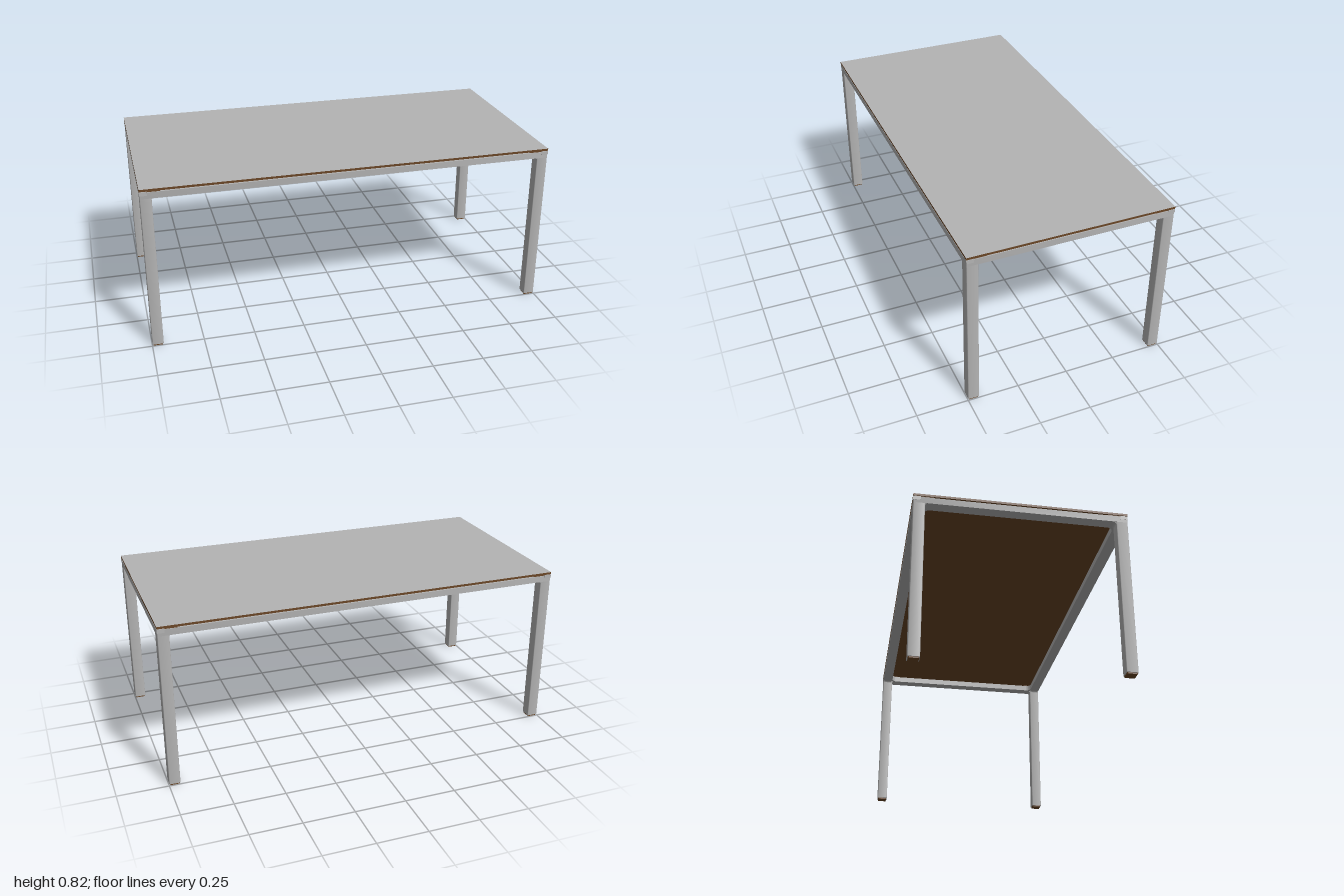
import * as THREE from 'three';
import { toCreasedNormals } from 'three/addons/utils/BufferGeometryUtils.js';

// Rounded rectangle centred on the origin, as a Shape or a Path
function roundedRect(target, w, d, r) {
  const x = w / 2, y = d / 2;
  target.moveTo(-x + r, -y);
  target.lineTo(x - r, -y);
  target.absarc(x - r, -y + r, r, -Math.PI / 2, 0, false);
  target.lineTo(x, y - r);
  target.absarc(x - r, y - r, r, 0, Math.PI / 2, false);
  target.lineTo(-x + r, y);
  target.absarc(-x + r, y - r, r, Math.PI / 2, Math.PI, false);
  target.lineTo(-x, -y + r);
  target.absarc(-x + r, -y + r, r, Math.PI, Math.PI * 1.5, false);
  return target;
}

// Extrude a plan shape upwards from y0 to y1
function extrudeUp(shape, y0, y1) {
  const g = new THREE.ExtrudeGeometry(shape, { depth: y1 - y0, bevelEnabled: false, curveSegments: 6 });
  g.rotateX(-Math.PI / 2);
  g.translate(0, y0, 0);
  return toCreasedNormals(g, 0.6);
}

export function createModel() {
  const grey = new THREE.MeshStandardMaterial({ color: 0xb4b4b4 });
  grey.name = 'satin grey';
  const brown = new THREE.MeshStandardMaterial({ color: 0x6a4626 });
  brown.name = 'dark brown';

  const model = new THREE.Group();
  model.name = 'table';
  function add(parent, name, geometry, material, x = 0, y = 0, z = 0) {
    const mesh = new THREE.Mesh(geometry, material);
    mesh.name = name;
    mesh.position.set(x, y, z);
    parent.add(mesh);
    return mesh;
  }

  const HX = 0.999, HZ = 0.499;      // outer half sizes of the frame
  const LEG = 0.054, EDGE = 0.004;   // leg width and edge rounding
  const RAIL_Y = 0.775, RAIL_TOP = 0.806, TOP_Y = 0.811, HEIGHT = 0.822;

  // Tabletop: grey upper face, brown edges and underside
  add(model, 'tabletop', new THREE.BoxGeometry(2, HEIGHT - TOP_Y, 1),
    [brown, brown, grey, brown, brown, brown], 0, (HEIGHT + TOP_Y) / 2, 0);

  // Frame of rails with rounded inner corners
  const ring = roundedRect(new THREE.Shape(), HX * 2, HZ * 2, EDGE);
  ring.holes.push(roundedRect(new THREE.Path(), (HX - LEG) * 2, (HZ - LEG) * 2, 0.03));
  add(model, 'railFrame', extrudeUp(ring, RAIL_Y, RAIL_TOP), grey);

  // Shared corner geometries
  const legGeo = extrudeUp(roundedRect(new THREE.Shape(), LEG, LEG, EDGE), 0.007, RAIL_Y);
  const footGeo = extrudeUp(roundedRect(new THREE.Shape(), 0.047, 0.047, EDGE), 0, 0.007);
  const blockGeo = new THREE.BoxGeometry(0.035, 0.019, 0.035);
  const spacerX = new THREE.BoxGeometry(0.06, TOP_Y - RAIL_TOP, 0.045);
  const spacerZ = new THREE.BoxGeometry(0.045, TOP_Y - RAIL_TOP, 0.06);

  // Small concave fillet between leg and rail
  const R = 0.01;
  const f = new THREE.Shape();
  f.moveTo(0, 0);
  f.lineTo(0, -R);
  f.absarc(R, -R, R, Math.PI, Math.PI / 2, true);
  f.lineTo(0, 0);
  const filletRaw = new THREE.ExtrudeGeometry(f, { depth: LEG - 2 * EDGE, bevelEnabled: false, curveSegments: 5 });
  filletRaw.translate(0, 0, -LEG / 2 + EDGE);
  const filletGeo = toCreasedNormals(filletRaw, 0.6);

  for (const sx of [-1, 1]) {
    for (const sz of [-1, 1]) {
      const corner = new THREE.Group();
      corner.name = (sz > 0 ? 'front' : 'back') + (sx > 0 ? 'Left' : 'Right') + 'Corner';
      model.add(corner);
      const lx = sx * (HX - LEG / 2), lz = sz * (HZ - LEG / 2);
      add(corner, 'leg', legGeo, grey, lx, 0, lz);
      add(corner, 'foot', footGeo, brown, lx, 0, lz);
      add(corner, 'cornerBlock', blockGeo, grey, sx * (1 - 0.0175), 0.7995, sz * (0.5 - 0.0175));

      // Spacers holding the top just above the rails
      const sy = (RAIL_TOP + TOP_Y) / 2;
      add(corner, 'spacerAlongX', spacerX, brown, sx * 0.935, sy, sz * 0.473);
      add(corner, 'spacerAlongZ', spacerZ, brown, sx * 0.973, sy, sz * 0.435);

      add(corner, 'filletAlongX', filletGeo, grey, sx * (HX - LEG), RAIL_Y, lz)
        .rotation.y = sx > 0 ? Math.PI : 0;
      add(corner, 'filletAlongZ', filletGeo, grey, lx, RAIL_Y, sz * (HZ - LEG))
        .rotation.y = sz * Math.PI / 2;
    }
  }
  return model;
}
